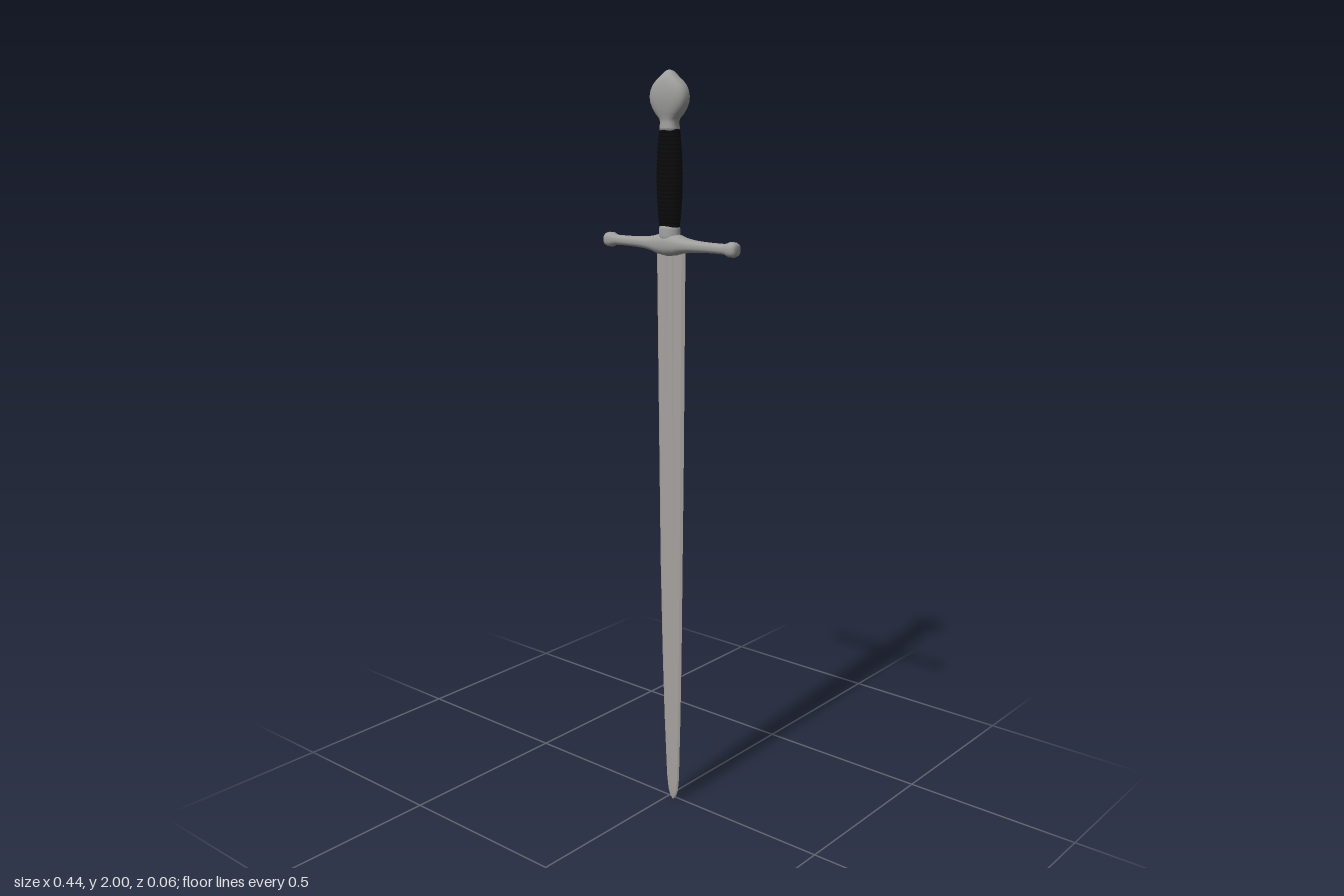
import * as THREE from 'three';
import { toCreasedNormals } from 'three/addons/utils/BufferGeometryUtils.js';

const bladeSteel = new THREE.MeshStandardMaterial({ color: 0xa5a19e });
bladeSteel.name = 'blade steel';
const fittingSteel = new THREE.MeshStandardMaterial({ color: 0x9e9e9d });
fittingSteel.name = 'fitting steel';
const blackLeather = new THREE.MeshStandardMaterial({ color: 0x0a0a0a });
blackLeather.name = 'black leather';

// Skins rings of points, ordered upwards, each running from +x towards +z
function skin(rings) {
  const n = rings[0].length, index = [];
  for (let i = 0; i < rings.length - 1; i++) {
    for (let j = 0; j < n; j++) {
      const k = (j + 1) % n;
      const a = i * n + j, b = a + n, c = i * n + k, d = c + n;
      index.push(a, b, c, c, b, d);
    }
  }
  const g = new THREE.BufferGeometry();
  g.setAttribute('position', new THREE.Float32BufferAttribute(rings.flat(2), 3));
  g.setIndex(index);
  g.computeVertexNormals();
  return g;
}

// Oval ring; power below 1 squares it off
function oval(y, rx, rz, power = 1, sides = 32) {
  const bend = (v) => Math.sign(v) * Math.abs(v) ** power;
  return Array.from({ length: sides }, (_, j) => {
    const t = (j / sides) * Math.PI * 2;
    return [rx * bend(Math.cos(t)), y, rz * bend(Math.sin(t))];
  });
}

// Rows of [y, rx, rz] become a smooth oval solid
const ovalSolid = (rows, power) => skin(rows.map(([y, rx, rz]) => oval(y, rx, rz, power)));

function add(group, name, geometry, material) {
  const mesh = new THREE.Mesh(geometry, material);
  mesh.name = name;
  group.add(mesh);
  return mesh;
}

export function createModel() {
  const sword = new THREE.Group();
  sword.name = 'sword';

  // Blade: [y, left edge, right edge, z centre, half thickness, fuller floor]
  const bladeRows = [
    [0, 0.019, 0.023, 0.01, 0.001, 1],
    [0.01, 0.011, 0.032, 0.01, 0.003, 1],
    [0.03, 0.004, 0.039, 0.01, 0.004, 1],
    [0.07, -0.001, 0.043, 0.01, 0.005, 1],
    [0.25, -0.011, 0.047, 0.009, 0.005, 1],
    [0.45, -0.019, 0.05, 0.008, 0.006, 0.85],
    [0.7, -0.027, 0.051, 0.006, 0.006, 0.75],
    [1.03, -0.033, 0.053, 0.004, 0.007, 0.7],
    [1.3, -0.038, 0.053, 0.002, 0.008, 0.65],
    [1.565, -0.043, 0.053, 0, 0.008, 0.6],
  ];
  const bladeRings = bladeRows.map(([y, l, r, z, h, floor]) => {
    const side = [[0.82, 0.75], [0.3, 1], [0.14, floor], [-0.14, floor], [-0.3, 1], [-0.82, 0.75]];
    const section = [[1, 0], ...side, [-1, 0], ...side.map(([u, v]) => [-u, -v])];
    return section.map(([u, v]) => [(l + r) / 2 + (u * (r - l)) / 2, y, z + v * h]);
  });
  add(sword, 'blade', toCreasedNormals(skin(bladeRings), 0.3), bladeSteel);

  // Crossguard: half profile [x, half height, half depth] mirrored along its length
  const half = [
    [0.03, 0.026, 0.029], [0.05, 0.02, 0.026], [0.075, 0.016, 0.021], [0.105, 0.014, 0.017],
    [0.14, 0.013, 0.015], [0.178, 0.013, 0.014], [0.188, 0.015, 0.017], [0.197, 0.019, 0.019],
    [0.21, 0.019, 0.019], [0.217, 0.016, 0.016], [0.22, 0.01, 0.01], [0.22, 0, 0],
  ];
  const guardRows = [
    ...half.map(([x, h, d]) => [-x, h, d]).reverse(),
    [0, 0.03, 0.03],
    ...half,
  ];
  const guard = add(sword, 'crossguard', ovalSolid(guardRows, 0.85), fittingSteel);
  guard.rotation.z = -Math.PI / 2;
  guard.position.y = 1.567;

  // Collar between guard and grip
  add(sword, 'collar', ovalSolid([
    [1.57, 0, 0], [1.57, 0.034, 0.027], [1.59, 0.029, 0.026], [1.606, 0.029, 0.026],
    [1.616, 0.026, 0.023], [1.616, 0, 0],
  ]), fittingSteel);

  // Grip: swelling oval with fine wrapped ridges
  const gripRows = [[1.61, 0, 0]];
  const steps = 96;
  for (let i = 0; i <= steps; i++) {
    const t = i / steps;
    const swell = Math.sin(Math.PI * t) ** 0.8;
    const ridge = i % 4 === 0 ? -0.0012 : i % 4 === 2 ? 0.0006 : 0;
    gripRows.push([1.61 + 0.246 * t, 0.028 + 0.009 * swell + ridge, 0.022 + 0.005 * swell + ridge]);
  }
  gripRows.push([1.856, 0, 0]);
  add(sword, 'grip', ovalSolid(gripRows), blackLeather);

  // Pommel: neck, flattened disc and rounded nub
  add(sword, 'pommel', ovalSolid([
    [1.85, 0, 0], [1.85, 0.026, 0.022], [1.86, 0.026, 0.022], [1.872, 0.024, 0.02],
    [1.882, 0.028, 0.021], [1.892, 0.039, 0.024], [1.905, 0.049, 0.027], [1.92, 0.056, 0.029],
    [1.935, 0.058, 0.03], [1.95, 0.055, 0.029], [1.963, 0.048, 0.027], [1.974, 0.037, 0.024],
    [1.982, 0.026, 0.02], [1.99, 0.018, 0.015], [1.996, 0.011, 0.01], [1.999, 0.005, 0.005],
    [2, 0, 0],
  ], 0.8), fittingSteel);

  return sword;
}
